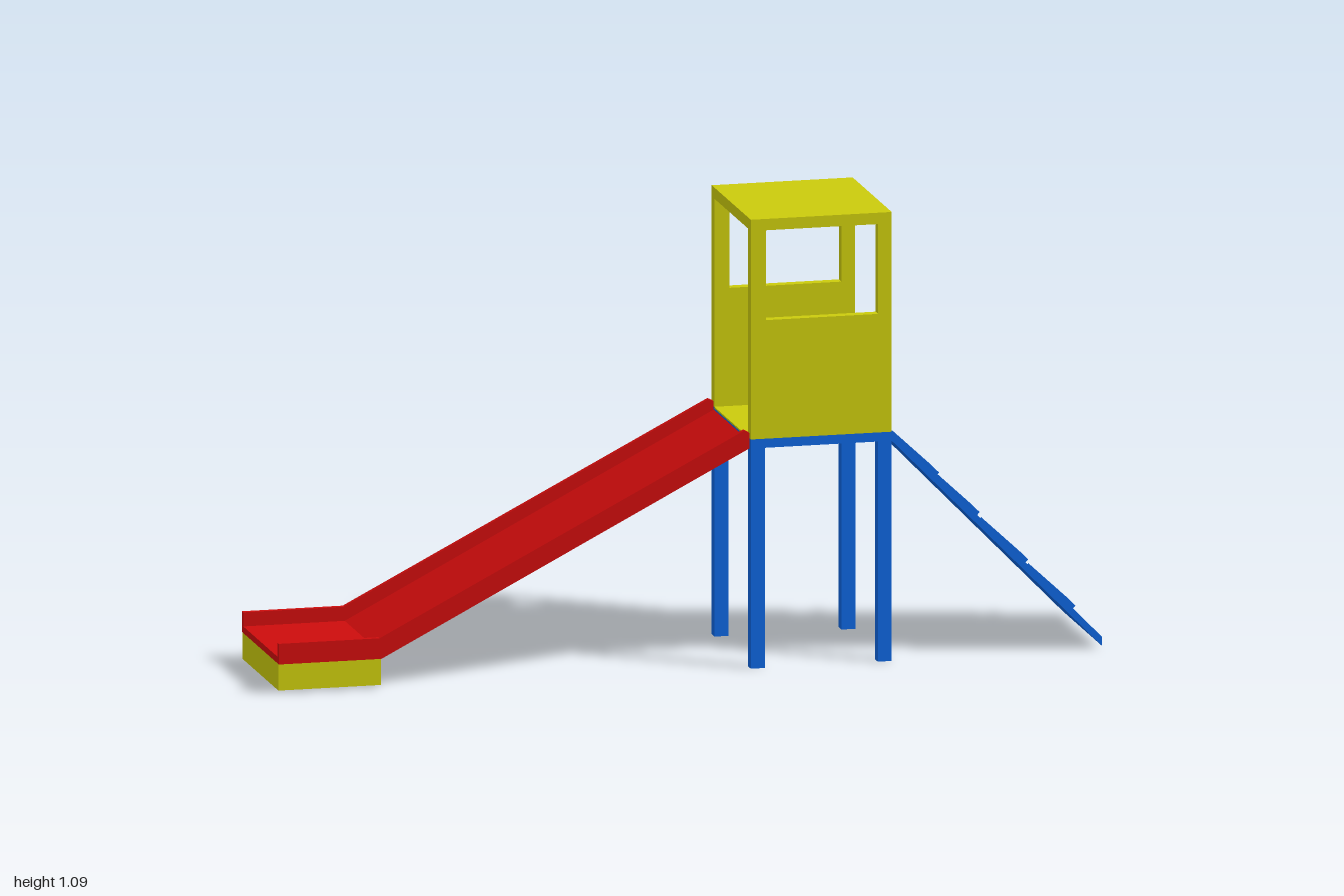
import * as THREE from 'three';

const red = new THREE.MeshStandardMaterial({ color: 0xcc0c0c });
red.name = 'slide red';
const yellow = new THREE.MeshStandardMaterial({ color: 0xcaca0c });
yellow.name = 'cabin yellow';
const blue = new THREE.MeshStandardMaterial({ color: 0x0e64dc });
blue.name = 'frame blue';

// Box given by its lower and upper corners
function box(name, [x0, y0, z0], [x1, y1, z1], material) {
  const mesh = new THREE.Mesh(new THREE.BoxGeometry(x1 - x0, y1 - y0, z1 - z0), material);
  mesh.position.set((x0 + x1) / 2, (y0 + y1) / 2, (z0 + z1) / 2);
  mesh.name = name;
  return mesh;
}

const outline = (points) => points.map(([x, y]) => new THREE.Vector2(x, y));

// Side outline in x and y, extruded from z0 to z1
function slab(name, points, z0, z1, material, hole) {
  const shape = new THREE.Shape(outline(points));
  if (hole) shape.holes.push(new THREE.Path(outline(hole)));
  const geometry = new THREE.ExtrudeGeometry(shape, { depth: z1 - z0, bevelEnabled: false });
  geometry.translate(0, 0, z0);
  const mesh = new THREE.Mesh(geometry, material);
  mesh.name = name;
  return mesh;
}

const rect = (x0, y0, x1, y1) => [[x0, y0], [x1, y0], [x1, y1], [x0, y1]];

export function createModel() {
  const model = new THREE.Group();
  model.name = 'playground slide';
  const X0 = 0.145, X1 = 0.488, Z = 0.19, WALL = 0.025, DECK = 0.555;

  // Cabin: two windowed walls, a roof and a floor sheet
  const cabin = new THREE.Group();
  cabin.name = 'cabin';
  for (const side of [1, -1]) {
    const z0 = side > 0 ? Z - WALL : -Z;
    cabin.add(slab('cabinWall', rect(X0, DECK, X1, 1.06), z0, z0 + WALL, yellow,
      rect(0.182, 0.842, 0.455, 1.0595)));
  }
  cabin.add(box('roof', [X0, 1.06, -Z], [X1, 1.087, Z], yellow));
  cabin.add(box('cabinFloor', [X0, DECK - 0.003, -Z + WALL], [X1, DECK + 0.001, Z - WALL], yellow));
  model.add(cabin);

  // Platform and its four legs
  const platform = new THREE.Group();
  platform.name = 'platform';
  platform.add(box('deck', [X0, 0.533, -Z], [X1, DECK, Z], blue));
  for (const x of [X0, X1 - 0.034]) {
    for (const z of [-Z, Z - 0.027]) {
      platform.add(box('leg', [x, 0, z], [x + 0.034, 0.533, z + 0.027], blue));
    }
  }
  model.add(platform);

  // Climbing ramp with four cleats
  const ramp = new THREE.Group();
  ramp.name = 'climbingRamp';
  const top = DECK, foot = 0.03;
  ramp.add(slab('rampBoard', [[X1, top - 0.022], [1, 0.008], [1, foot], [X1, top]], -Z, Z, blue));
  const angle = Math.atan2(foot - top, 1 - X1);
  for (const x of [0.587, 0.686, 0.804, 0.919]) {
    const cleat = new THREE.Mesh(new THREE.BoxGeometry(0.028, 0.018, 2 * Z), blue);
    cleat.position.set(x, top + (x - X1) * Math.tan(angle), 0);
    cleat.rotation.z = angle;
    cleat.name = 'cleat';
    ramp.add(cleat);
  }
  model.add(ramp);

  // Slide: a bent bed between two raised sides
  const slide = new THREE.Group();
  slide.name = 'slide';
  const zBack = -0.184, zFront = 0.175, rim = 0.013;
  const side = [[-1, 0.07], [-0.75, 0.07], [X0, 0.53], [X0, 0.568], [0.133, 0.574],
    [-0.755, 0.12], [-1, 0.12]];
  const bed = [[-1, 0.07], [-0.75, 0.07], [X0, 0.53], [X0, 0.548], [-0.753, 0.086], [-1, 0.086]];
  slide.add(slab('slideSide', side, zBack, zBack + rim, red));
  slide.add(slab('slideSide', side, zFront - rim, zFront, red));
  slide.add(slab('slideBed', bed, zBack + rim, zFront - rim, red));
  // Landing block: red towards the tower and underneath, yellow elsewhere
  slide.add(box('landingBlock', [-1, 0.006, zBack + 0.004], [-0.75, 0.07, zFront - 0.004],
    [red, yellow, yellow, red, yellow, yellow]));
  model.add(slide);

  return model;
}
